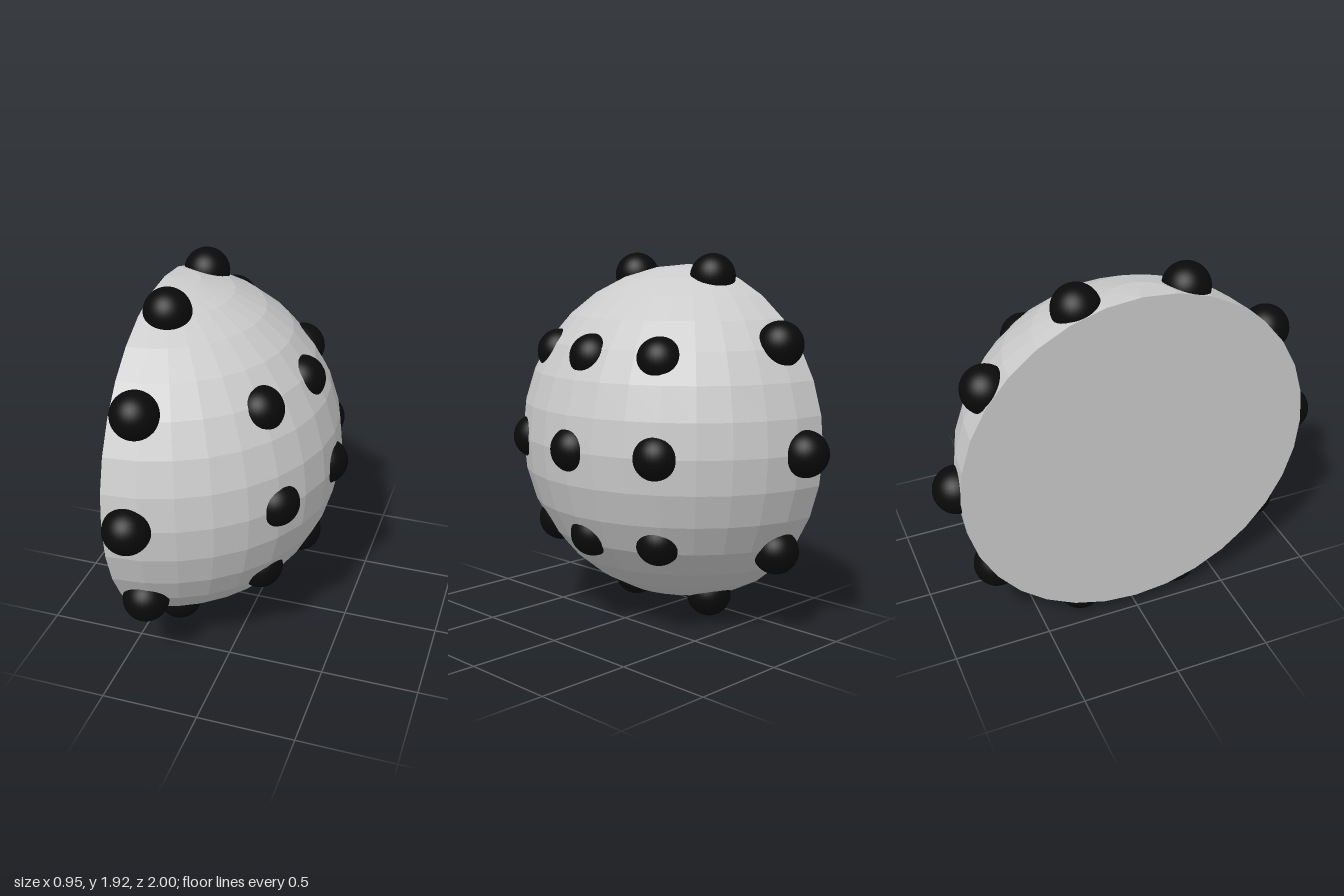
import * as THREE from 'three';

const R = 0.9;                                        // dome radius
const CENTRE = new THREE.Vector3(-0.48, 0.957, 0);    // middle of the flat face
const KNOB_R = 0.117;

export function createModel() {
  const group = new THREE.Group();
  const grey = new THREE.MeshStandardMaterial({ color: 0xcccccc, flatShading: true });
  const black = new THREE.MeshStandardMaterial({ color: 0x0a0a0a });

  // Faceted half sphere bulging towards +x
  const dome = new THREE.Mesh(new THREE.SphereGeometry(R, 16, 16, Math.PI / 2, Math.PI), grey);
  dome.name = 'dome';
  dome.position.copy(CENTRE);
  group.add(dome);

  // Flat disc closing the cut side
  const disc = new THREE.Mesh(new THREE.CircleGeometry(R, 32), grey);
  disc.name = 'flatFace';
  disc.rotation.y = -Math.PI / 2;
  disc.position.copy(CENTRE);
  group.add(disc);

  // Round knobs, placed relative to the middle of the flat face
  const knobs = new THREE.Group();
  knobs.name = 'knobs';
  group.add(knobs);
  const knobGeometry = new THREE.SphereGeometry(KNOB_R, 32, 24);
  const addKnob = (x, y, z) => {
    const knob = new THREE.Mesh(knobGeometry, black);
    knob.name = 'knob';
    knob.position.set(x, y, z).add(CENTRE);
    knobs.add(knob);
  };

  // Ten knobs around the rim
  for (let i = 0; i < 10; i++) {
    const a = (i * Math.PI) / 5;
    addKnob(0.12, 0.885 * Math.sin(a), 0.883 * Math.cos(a));
  }

  // Three by three grid of knobs, sunk a little deeper into the dome
  const depth = 0.837;
  for (const row of [-1, 0, 1]) {
    for (const col of [-1, 0, 1]) {
      const y = row * 0.45;
      const z = col * (row === 0 ? 0.445 : 0.365);
      addKnob(Math.sqrt(depth * depth - y * y - z * z), y, z);
    }
  }
  return group;
}
